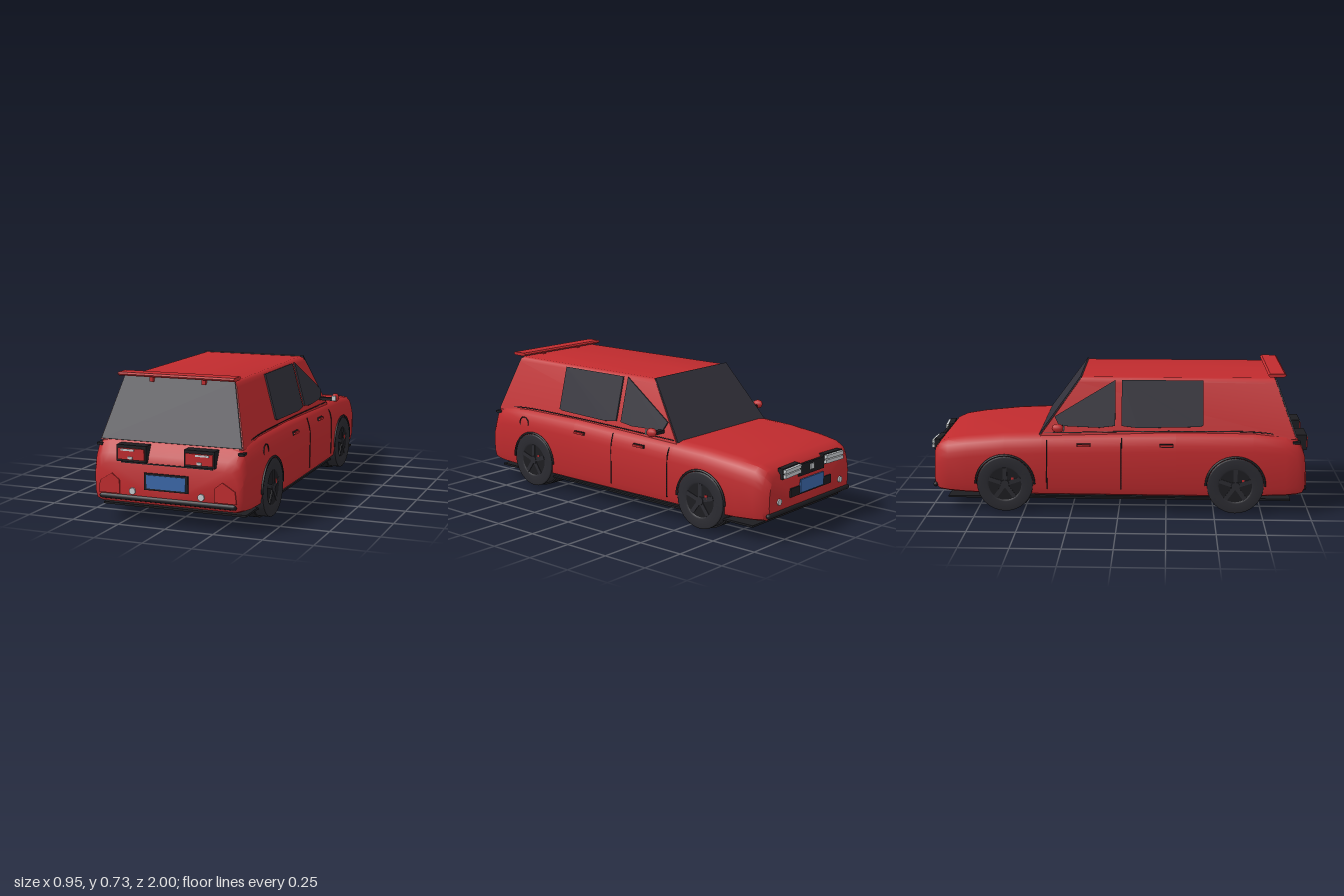
import * as THREE from 'three';
import { toCreasedNormals } from 'three/addons/utils/BufferGeometryUtils.js';

const mat = (name, color) => Object.assign(new THREE.MeshStandardMaterial({ color }), { name });

// Skin a list of closed rings (counterclockwise seen from +z, running from +z to -z)
function loft(rings) {
  const n = rings[0].length, pos = rings.flat(2), idx = [];
  for (let i = 0; i < rings.length - 1; i++) {
    for (let j = 0; j < n; j++) {
      const k = (j + 1) % n, a = i * n + j, b = i * n + k;
      idx.push(a, a + n, b, a + n, b + n, b);
    }
  }
  const last = (rings.length - 1) * n;
  for (let j = 1; j < n - 1; j++) idx.push(0, j, j + 1, last, last + j + 1, last + j);
  const g = new THREE.BufferGeometry();
  g.setAttribute('position', new THREE.Float32BufferAttribute(pos, 3));
  g.setIndex(idx);
  return toCreasedNormals(g, 0.7);
}

// Mirror a half profile (bottom centre to top centre) into a closed loop
const closeLoop = half => [...half, ...half.slice(1, -1).reverse().map(([x, y]) => [-x, y])];

// Flat convex plate raised from its corner points towards the given direction
function plateGeometry(points, out, thick) {
  let p = points.map(q => new THREE.Vector3(...q));
  const dir = new THREE.Vector3(...out);
  const n = p[1].clone().sub(p[0]).cross(p[2].clone().sub(p[0])).normalize();
  if (n.dot(dir) < 0) { p.reverse(); n.negate(); }
  const top = p.map(q => q.clone().addScaledVector(n, thick)), tri = [];
  p.forEach((q, i) => {
    const k = (i + 1) % p.length;
    tri.push(q, p[k], top[k], q, top[k], top[i]);
    if (i > 0 && k > 0) tri.push(top[0], top[i], top[k]);
  });
  const g = new THREE.BufferGeometry().setFromPoints(tri);
  g.computeVertexNormals();
  return g;
}

export function createModel() {
  const car = new THREE.Group();
  car.name = 'car';
  const red = mat('red paint', 0xc02b2e), glass = mat('dark glass', 0x32313a);
  const black = mat('black trim', 0x1d1d21), rubber = mat('rubber', 0x2b2b31);
  const blue = mat('plate blue', 0x3b68a9), silver = mat('silver', 0xc9cdd1);

  const add = (name, geo, m, x = 0, y = 0, z = 0) => {
    const mesh = new THREE.Mesh(geo, m);
    mesh.name = name;
    mesh.position.set(x, y, z);
    car.add(mesh);
    return mesh;
  };
  const box = (name, m, w, h, d, x, y, z) => add(name, new THREE.BoxGeometry(w, h, d), m, x, y, z);
  const plate = (name, m, pts, out, t = 0.008) => add(name, plateGeometry(pts, out, t), m);
  const disc = (name, m, r, h, x, y, z) => {
    const d = add(name, new THREE.CylinderGeometry(r, r, h, 14), m, x, y, z);
    d.rotation.x = Math.PI / 2;
    return d;
  };
  const line = (name, pts, r = 0.003) => add(name, new THREE.TubeGeometry(
    new THREE.CatmullRomCurve3(pts.map(q => new THREE.Vector3(...q))), 20, r, 5), black);

  // Lower body: z, half width, bottom, top
  const stations = [
    [0.975, 0.37, 0.125, 0.30], [0.96, 0.39, 0.105, 0.345], [0.93, 0.40, 0.10, 0.40],
    [0.87, 0.406, 0.095, 0.425], [0.7, 0.408, 0.09, 0.435], [0.3, 0.41, 0.088, 0.435],
    [-0.4, 0.41, 0.09, 0.42], [-0.6, 0.406, 0.09, 0.412], [-0.8, 0.397, 0.095, 0.393],
    [-0.9, 0.385, 0.10, 0.378], [-0.95, 0.372, 0.105, 0.357], [-0.975, 0.35, 0.12, 0.325],
  ];
  add('body', loft(stations.map(([z, w, b, t]) => closeLoop([
    [0, b], [0.9 * w, b], [0.975 * w, b + 0.012], [w, b + 0.05], [w, t - 0.1],
    [0.985 * w, t - 0.07], [0.955 * w, t - 0.03], [0.9 * w, t - 0.006], [0.8 * w, t], [0, t],
  ]).map(([x, y]) => [x, y, z]))), red);

  // Cabin with slanted ends
  const cabin = closeLoop([[0, 0.40], [0.377, 0.40], [0.303, 0.68], [0.294, 0.698], [0.278, 0.705], [0, 0.705]]);
  const slant = (y, z0, z1) => z0 + (z1 - z0) * (y - 0.4) / 0.305;
  add('cabin', loft([[0.922, 0.81], [-0.415, -0.195]].map(([z0, z1]) =>
    cabin.map(([x, y]) => [x, y, slant(y, z0, z1)]))), red);

  // Windscreen and tailgate glass
  plate('windscreen', glass, [[-0.37, 0.41, -0.41], [0.37, 0.41, -0.41], [0.296, 0.706, -0.195], [-0.296, 0.706, -0.195]], [0, 0, -1]);
  plate('rearWindow', glass, [[-0.37, 0.405, 0.921], [0.37, 0.405, 0.921], [0.292, 0.704, 0.811], [-0.292, 0.704, 0.811]], [0, 0, 1]);

  // Roof spoiler on two posts
  const wing = new THREE.Shape([[0.775, 0.722], [0.785, 0.712], [0.855, 0.712], [0.87, 0.722], [0.86, 0.73], [0.785, 0.73]]
    .map(q => new THREE.Vector2(-q[0], q[1])));
  const wingGeo = new THREE.ExtrudeGeometry(wing, { depth: 0.61, bevelEnabled: false });
  wingGeo.translate(0, 0, -0.305).rotateY(Math.PI / 2);
  add('spoiler', wingGeo, red);

  for (const s of [1, -1]) {
    box('spoilerPost', red, 0.02, 0.03, 0.05, s * 0.138, 0.702, 0.815);

    // Side windows lying on the leaning cabin wall
    const wall = (z, y) => [s * (0.377 - (y - 0.4) * 0.264), y, z];
    plate('rearSideWindow', glass, [wall(0.44, 0.692), wall(0.44, 0.465), wall(0.42, 0.458), wall(0.1, 0.45),
      wall(0.015, 0.46), wall(0.015, 0.692)], [s, 0, 0]);
    plate('frontSideWindow', glass, [wall(-0.018, 0.692), wall(-0.018, 0.46), wall(-0.1, 0.45), wall(-0.31, 0.458),
      wall(-0.335, 0.505)], [s, 0, 0]);

    // Door gaps and belt line
    for (const [z, top] of [[0.015, 0.43], [-0.375, 0.415]]) {
      line('doorGap', [[s * 0.41, 0.13, z], [s * 0.41, 0.24, z], [s * 0.409, 0.33, z],
        [s * 0.404, 0.36, z], [s * 0.391, top - 0.028, z]]);
    }
    line('beltLine', [[s * 0.365, 0.408, 0.91], [s * 0.369, 0.432, 0.75], [s * 0.369, 0.436, 0.3], [s * 0.37, 0.422, -0.39]]);

    // Door handles
    for (const z of [0.25, -0.18]) {
      box('handleRecess', black, 0.01, 0.017, 0.072, s * 0.405, 0.366, z);
      box('doorHandle', red, 0.016, 0.011, 0.066, s * 0.41, 0.366, z);
    }

    // Door mirrors
    box('mirrorArm', black, 0.075, 0.016, 0.03, s * 0.40, 0.457, -0.305);
    const mirror = add('mirrorShell', new THREE.SphereGeometry(0.024, 8, 6), red, s * 0.452, 0.466, -0.31);
    mirror.scale.set(0.9, 1, 1.3);
    box('mirrorFace', silver, 0.024, 0.028, 0.004, s * 0.452, 0.466, -0.279);

    // Tail lamps
    box('tailLampFrame', black, 0.158, 0.082, 0.06, s * 0.178, 0.356, 0.96);
    box('tailLamp', red, 0.14, 0.056, 0.01, s * 0.178, 0.354, 0.991);
    box('tailLampStrip', silver, 0.07, 0.009, 0.006, s * 0.195, 0.374, 0.997);
    box('reverseLamp', silver, 0.024, 0.012, 0.006, s * 0.18, 0.336, 0.997);
    disc('rearFogLamp', silver, 0.017, 0.012, s * 0.181, 0.168, 0.977);
    plate('bumperCorner', red, [[s * 0.25, 0.15, 0.965], [s * 0.25, 0.218, 0.965], [s * 0.29, 0.25, 0.965],
      [s * 0.355, 0.21, 0.965], [s * 0.362, 0.15, 0.965]], [0, 0, 1], 0.016);
    box('rearMarker', black, 0.03, 0.012, 0.04, s * 0.372, 0.383, 0.925);

    // Headlamps
    const head = box('headlampFrame', black, 0.155, 0.054, 0.03, s * 0.185, 0.33, -0.97);
    head.rotation.y = s * 0.06;
    for (const y of [0.318, 0.342]) {
      box('headlamp', silver, 0.145, 0.019, 0.03, s * 0.185, y, -0.985).rotation.y = s * 0.06;
    }
    disc('frontFogLamp', silver, 0.016, 0.012, s * 0.27, 0.19, -0.976);
  }

  // Rear trim
  box('tailgateGap', black, 0.48, 0.006, 0.012, 0, 0.308, 0.97);
  box('rearPlateFrame', black, 0.23, 0.084, 0.014, 0, 0.223, 0.976);
  box('rearPlate', blue, 0.204, 0.066, 0.006, 0, 0.223, 0.983);

  // Front trim
  box('grille', black, 0.22, 0.06, 0.014, 0, 0.315, -0.974);
  box('badge', silver, 0.032, 0.028, 0.006, 0, 0.318, -0.983);
  box('frontPlateFrame', black, 0.36, 0.045, 0.012, 0, 0.215, -0.976);
  box('frontPlate', blue, 0.204, 0.068, 0.008, 0, 0.235, -0.984);

  // Bumper strips and floor tray
  for (const s of [1, -1]) {
    const strip = add('bumperStrip', new THREE.CapsuleGeometry(0.014, 0.695, 3, 8), black, 0, 0.133, s * 0.972);
    strip.rotation.z = Math.PI / 2;
  }
  box('floorTray', black, 0.76, 0.01, 1.8, 0, 0.075, 0);
  box('floor', black, 0.72, 0.02, 1.3, 0, 0.085, 0);

  // Fuel cap
  const cap = add('fuelCap', new THREE.TorusGeometry(0.034, 0.003, 6, 24), black, 0.404, 0.355, 0.69);
  cap.rotation.y = Math.PI / 2;

  // Wheels joined by full-width drums
  for (const z of [0.61, -0.595]) {
    add('innerDrum', new THREE.CylinderGeometry(0.155, 0.155, 0.71, 32), black, 0, 0.155, z).rotation.z = Math.PI / 2;
    add('tyre', new THREE.CylinderGeometry(0.147, 0.147, 0.822, 32), rubber, 0, 0.155, z).rotation.z = Math.PI / 2;
    for (const s of [1, -1]) {
      const wheel = new THREE.Group();
      wheel.name = 'wheel';
      wheel.position.set(s * 0.411, 0.155, z);
      wheel.rotation.y = s * Math.PI / 2;
      car.add(wheel);
      const part = (name, geo, m) => {
        const p = new THREE.Mesh(geo, m);
        p.name = name;
        wheel.add(p);
        return p;
      };
      part('archLip', new THREE.TorusGeometry(0.154, 0.006, 6, 32, Math.PI), black);
      part('rimWell', new THREE.CircleGeometry(0.09, 28), black).position.z = 0.001;
      const wall = new THREE.LatheGeometry([[0.147, 0], [0.14, 0.006], [0.095, 0.006], [0.085, 0]]
        .map(q => new THREE.Vector2(...q)).reverse(), 32);
      wall.rotateX(Math.PI / 2);
      const side = rubber.clone();
      side.side = THREE.DoubleSide;
      part('tyreWall', wall, side);
      part('hub', new THREE.CylinderGeometry(0.022, 0.026, 0.012, 12).rotateX(Math.PI / 2), rubber);
      for (let i = 0; i < 5; i++) {
        const spoke = part('spoke', new THREE.BoxGeometry(0.022, 0.075, 0.008).translate(0, 0.05, 0), rubber);
        spoke.rotation.z = i * Math.PI * 0.4;
      }
      const caliper = part('caliper', new THREE.BoxGeometry(0.014, 0.022, 0.004), red);
      caliper.position.set(0.04, 0.024, 0.002);
    }
  }
  return car;
}
